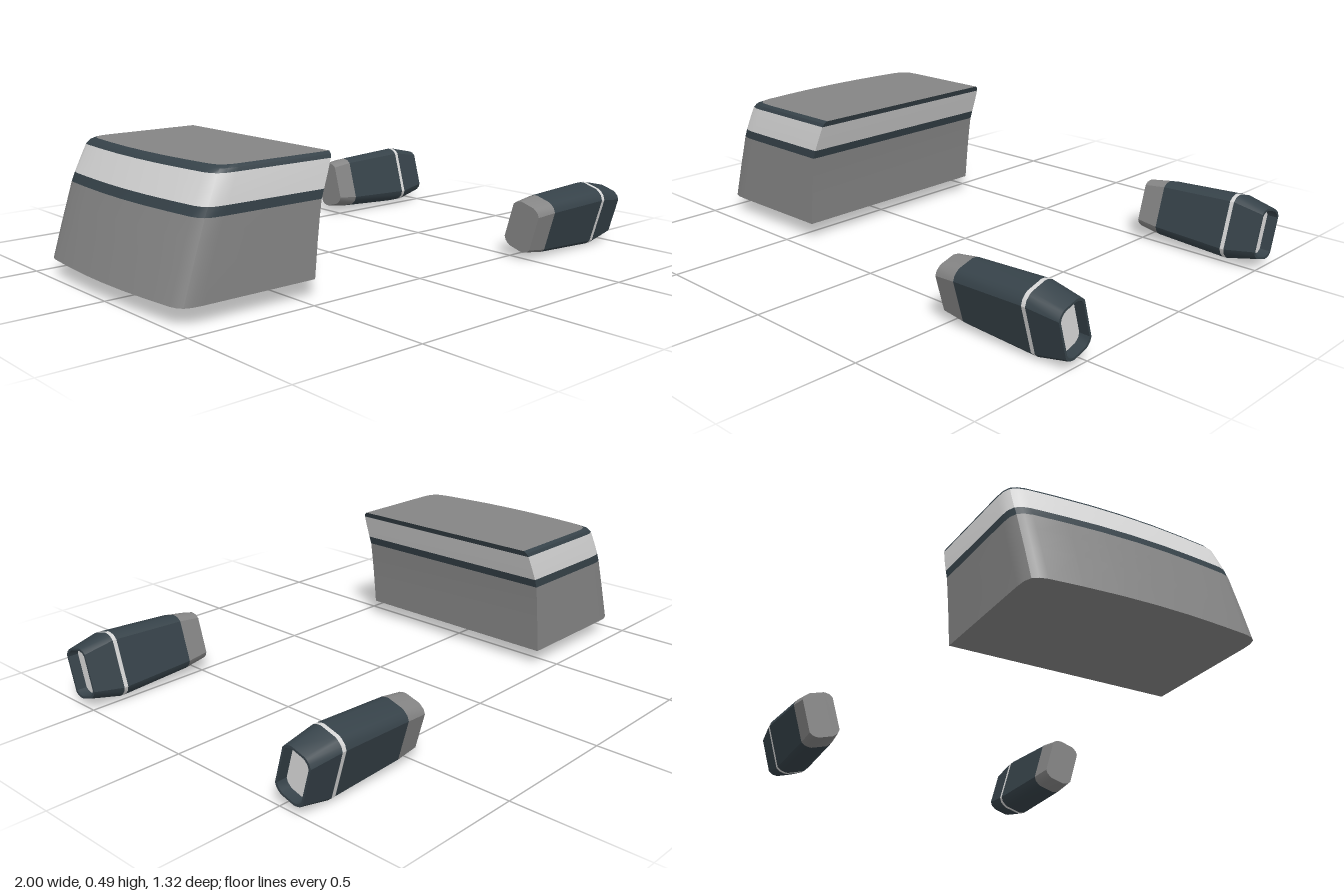
import * as THREE from 'three';
import { toCreasedNormals } from 'three/addons/utils/BufferGeometryUtils.js';

// Skin a list of closed rings (counter-clockwise about the loft direction), with optional end caps
function loft(rings, capStart = false, capEnd = false) {
  const pos = [];
  const tri = (...pts) => pts.forEach(p => pos.push(p.x, p.y, p.z));
  const n = rings[0].length;
  for (let i = 0; i < rings.length - 1; i++) {
    for (let j = 0; j < n; j++) {
      const k = (j + 1) % n;
      const a = rings[i][j], b = rings[i][k], c = rings[i + 1][k], d = rings[i + 1][j];
      tri(a, b, c);
      tri(a, c, d);
    }
  }
  const cap = (ring, flip) => {
    for (let j = 1; j < n - 1; j++) {
      if (flip) tri(ring[0], ring[j + 1], ring[j]);
      else tri(ring[0], ring[j], ring[j + 1]);
    }
  };
  if (capStart) cap(rings[0], true);
  if (capEnd) cap(rings[rings.length - 1], false);
  const g = new THREE.BufferGeometry();
  g.setAttribute('position', new THREE.Float32BufferAttribute(pos, 3));
  return toCreasedNormals(g, 0.5);
}

// Horizontal outline of the block: sharp corners at +x, bowed end with rounded corners at -x
function blockRing([y, xl, xr, w]) {
  const half = [
    [xr, w], [xl + 0.11, w], [xl + 0.07, w - 0.003], [xl + 0.045, w - 0.013],
    [xl + 0.031, w - 0.032], [xl + 0.023, w - 0.06], [xl + 0.012, w * 0.6], [xl + 0.003, w * 0.3],
  ];
  const back = half.map(([x, z]) => new THREE.Vector3(x, y, -z));
  const front = half.map(([x, z]) => new THREE.Vector3(x, y, z)).reverse();
  return [...back, new THREE.Vector3(xl, y, 0), ...front];
}

// Tall rectangle with three-point rounded corners, half height u and half width v
function podRing([x, u, v]) {
  const q = [[1, 0.46], [0.965, 0.62], [0.88, 0.85], [0.74, 1]];
  const m = q.slice().reverse();
  return [
    ...q, ...m.map(([a, b]) => [-a, b]),
    ...q.map(([a, b]) => [-a, -b]), ...m.map(([a, b]) => [a, -b]),
  ].map(([a, b]) => new THREE.Vector3(x, a * u, b * v));
}

export function createModel() {
  const model = new THREE.Group();
  const material = (name, color) => {
    const m = new THREE.MeshStandardMaterial({ color });
    m.name = name;
    return m;
  };
  const grey = material('mid grey', 0x858585);
  const light = material('light grey', 0xd6d6d6);
  const dark = material('dark slate', 0x364249);

  const add = (parent, name, geometry, mat) => {
    const mesh = new THREE.Mesh(geometry, mat);
    mesh.name = name;
    parent.add(mesh);
  };

  // Block: each level is [y, -x end, +x end, half width]
  const block = new THREE.Group();
  block.name = 'block';
  block.position.z = -0.0125;
  model.add(block);
  const levels = [
    [0.07, -1.0, -0.432, 0.4375], [0.2, -0.96, -0.42, 0.4375], [0.28, -0.934, -0.411, 0.4375],
    [0.345, -0.913, -0.402, 0.4375], [0.378, -0.899, -0.391, 0.437],
    [0.43, -0.876, -0.371, 0.433], [0.478, -0.854, -0.353, 0.4275],
    [0.491, -0.843, -0.348, 0.422], [0.5, -0.822, -0.344, 0.41],
  ].map(blockRing);
  add(block, 'lowerBody', loft(levels.slice(0, 4), true), grey);
  add(block, 'lowerStripe', loft(levels.slice(3, 5)), dark);
  add(block, 'lightBand', loft(levels.slice(4, 7)), light);
  add(block, 'topEdgeStripe', loft(levels.slice(6, 9)), dark);
  add(block, 'topPanel', loft([levels[8]], false, true), grey);

  // Two pods leaning outwards: each section is [x, half height, half width]
  const s = [
    [0.487, 0.094, 0.064], [0.575, 0.107, 0.069], [0.866, 0.122, 0.073], [0.882, 0.122, 0.073],
    [1.0, 0.095, 0.063], [1.0, 0.087, 0.055], [0.96, 0.087, 0.055],
  ].map(podRing);
  for (const side of [1, -1]) {
    const pod = new THREE.Group();
    pod.name = side > 0 ? 'frontPod' : 'backPod';
    pod.position.set(0, 0.134, side * 0.563);
    pod.rotation.x = side * 0.285;
    model.add(pod);
    add(pod, 'podTail', loft(s.slice(0, 2), true), grey);
    add(pod, 'podBody', loft(s.slice(1, 3)), dark);
    add(pod, 'podRing', loft(s.slice(2, 4)), light);
    add(pod, 'podNose', loft(s.slice(3, 7)), dark);
    add(pod, 'podEndPanel', loft([s[6]], false, true), light);
  }
  return model;
}
